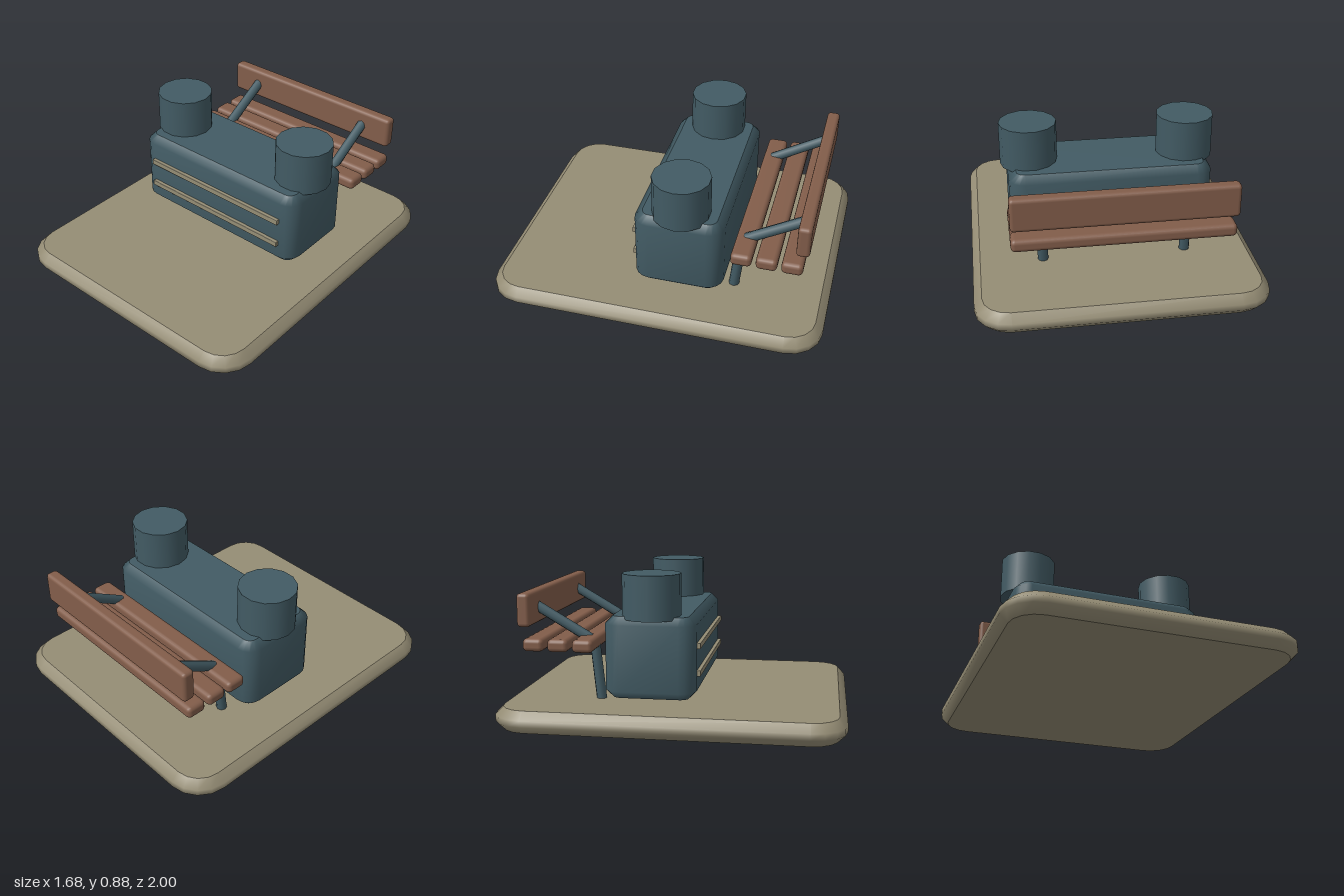
import * as THREE from 'three';
import { RoundedBoxGeometry } from 'three/addons/geometries/RoundedBoxGeometry.js';

const stone = new THREE.MeshStandardMaterial({ name: 'sandStone', color: 0x958d75 });
const teal = new THREE.MeshStandardMaterial({ name: 'darkTeal', color: 0x425b64 });
const wood = new THREE.MeshStandardMaterial({ name: 'brownWood', color: 0x825d4a });

// Outline of a rounded rectangle, counter-clockwise in (x, -z)
function outline(w, d, r, steps = 4) {
  const pts = [];
  [[1, 1], [-1, 1], [-1, -1], [1, -1]].forEach(([sx, sy], q) => {
    for (let i = 0; i <= steps; i++) {
      const a = (q + i / steps) * Math.PI / 2;
      pts.push(new THREE.Vector2(sx * (w / 2 - r) + r * Math.cos(a), sy * (d / 2 - r) + r * Math.sin(a)));
    }
  });
  return pts;
}

// Bevelled slab standing on y = 0: smooth wall from four rings, flat caps
function slab(w, h, d, r, bevel) {
  const rings = [[0, bevel], [bevel, 0], [h - bevel, 0], [h, bevel]];
  const pos = [], index = [];
  let n = 0;
  for (const [y, inset] of rings) {
    const pts = outline(w - 2 * inset, d - 2 * inset, r - inset);
    n = pts.length;
    for (const p of pts) pos.push(p.x, y, -p.y);
  }
  for (let k = 0; k < rings.length - 1; k++) {
    for (let i = 0; i < n; i++) {
      const a = k * n + i, b = k * n + (i + 1) % n;
      index.push(a, b, b + n, a, b + n, a + n);
    }
  }
  const wall = new THREE.BufferGeometry();
  wall.setAttribute('position', new THREE.Float32BufferAttribute(pos, 3));
  wall.setIndex(index);
  wall.computeVertexNormals();
  const shape = new THREE.Shape(outline(w - 2 * bevel, d - 2 * bevel, r - bevel));
  const top = new THREE.ShapeGeometry(shape).rotateX(-Math.PI / 2).translate(0, h, 0);
  const bottom = new THREE.ShapeGeometry(shape).rotateX(Math.PI / 2);
  return { wall, top, bottom };
}

function addMesh(parent, name, geometry, material, x = 0, y = 0, z = 0) {
  const mesh = new THREE.Mesh(geometry, material);
  mesh.name = name;
  mesh.position.set(x, y, z);
  parent.add(mesh);
  return mesh;
}

function addSlab(parent, name, size, material, y, z) {
  const group = new THREE.Group();
  group.name = name;
  group.position.set(0, y, z);
  for (const [part, geometry] of Object.entries(slab(...size))) addMesh(group, name + ' ' + part, geometry, material);
  parent.add(group);
}

// Round bar between two points
function addBar(parent, name, from, to, radius) {
  const dir = to.clone().sub(from);
  const bar = addMesh(parent, name, new THREE.CylinderGeometry(radius, radius, dir.length(), 8), teal);
  bar.position.copy(from).add(to).multiplyScalar(0.5);
  bar.quaternion.setFromUnitVectors(new THREE.Vector3(0, 1, 0), dir.normalize());
}

export function createModel() {
  const model = new THREE.Group();
  model.name = 'benchAndCabinet';

  // Ground plate and main cabinet
  addSlab(model, 'basePlate', [1.68, 0.13, 2, 0.2, 0.046], stone, 0, 0);
  addSlab(model, 'cabinet', [1.2, 0.475, 0.53, 0.095, 0.045], teal, 0.165, -0.12);

  // Trim strips on the cabinet front
  for (const y of [0.312, 0.472]) {
    addMesh(model, 'trimStrip', new RoundedBoxGeometry(1.01, 0.034, 0.034, 1, 0.004), stone, 0, y, 0.15);
  }

  // Drums on top of the cabinet
  for (const side of [-1, 1]) {
    const drum = new THREE.CylinderGeometry(0.17, 0.17, 0.258, 14).rotateY(Math.PI / 2);
    addMesh(model, 'drum', drum, teal, side * 0.47, 0.752, -0.12);
  }

  // Bench seat slats and backrest
  const bench = new THREE.Group();
  bench.name = 'bench';
  model.add(bench);
  for (const z of [-0.498, -0.643, -0.788]) {
    addMesh(bench, 'seatSlat', new RoundedBoxGeometry(1.245, 0.075, 0.122, 2, 0.026), wood, 0, 0.469, z);
  }
  addMesh(bench, 'backrest', new RoundedBoxGeometry(1.245, 0.194, 0.076, 2, 0.022), wood, 0, 0.669, -0.839);

  // Bench legs and backrest arms
  for (const x of [-0.425, 0.425]) {
    addBar(bench, 'leg', new THREE.Vector3(x, 0.12, -0.432), new THREE.Vector3(x, 0.48, -0.47), 0.031);
    addBar(bench, 'backArm', new THREE.Vector3(x, 0.485, -0.495), new THREE.Vector3(x, 0.685, -0.838), 0.031);
  }
  return model;
}
